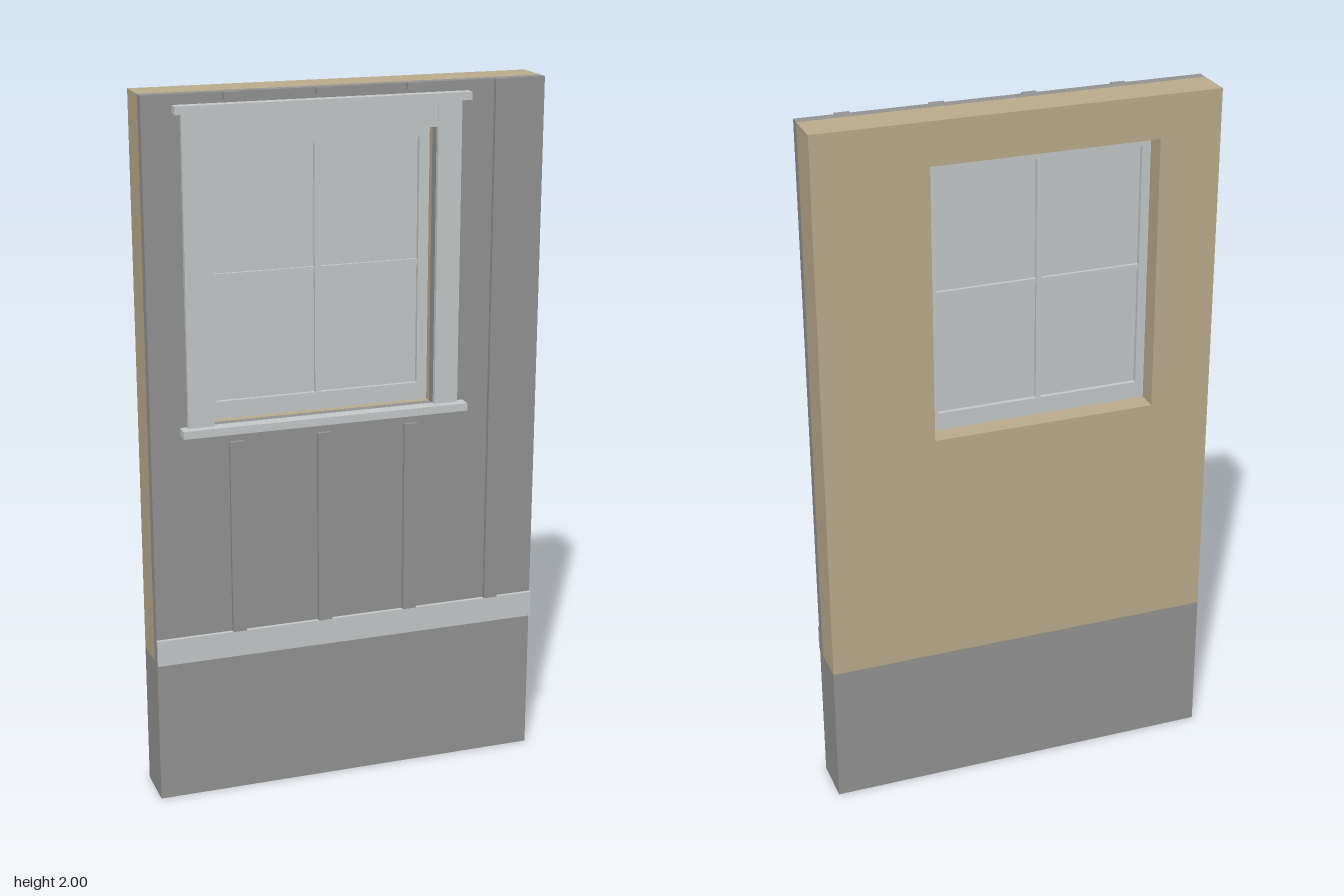
import * as THREE from 'three';

const mat = (name, color) => {
  const m = new THREE.MeshStandardMaterial({ color });
  m.name = name;
  return m;
};

export function createModel() {
  const group = new THREE.Group();
  group.name = 'windowWall';
  const grey = mat('greySiding', 0x949494);
  const tan = mat('tanTimber', 0xbcad8d);
  const trim = mat('paleTrim', 0xc7cbcb);
  const glass = mat('paleGlass', 0xc5c9cb);

  // Box given by its limits on each axis
  const box = (name, m, [x0, x1], [y0, y1], [z0, z1], parent = group) => {
    const mesh = new THREE.Mesh(new THREE.BoxGeometry(x1 - x0, y1 - y0, z1 - z0), m);
    mesh.position.set((x0 + x1) / 2, (y0 + y1) / 2, (z0 + z1) / 2);
    mesh.name = name;
    parent.add(mesh);
    return mesh;
  };
  const rect = (C, x0, x1, y0, y1) => {
    const s = new C();
    s.moveTo(x0, y0);
    s.lineTo(x1, y0);
    s.lineTo(x1, y1);
    s.lineTo(x0, y1);
    s.closePath();
    return s;
  };

  const W = 0.565, BASE = 0.415, BACK = -0.09, FACE = 0.05;
  const L = -0.39, R = 0.25, B = 1.1, T = 1.88; // window opening

  // Wall layers with the window opening cut through
  const layer = (name, m, z0, z1) => {
    const s = rect(THREE.Shape, -W, W, BASE, 2);
    s.holes.push(rect(THREE.Path, L, R, B, T));
    const mesh = new THREE.Mesh(
      new THREE.ExtrudeGeometry(s, { depth: z1 - z0, bevelEnabled: false }), m);
    mesh.position.z = z0;
    mesh.name = name;
    group.add(mesh);
  };
  layer('timberWall', tan, BACK, 0.02);
  layer('sidingPanel', grey, 0.02, FACE);
  box('foundation', grey, [-W, W], [0, BASE], [BACK, FACE]);
  box('baseTrim', trim, [-W, W], [BASE, 0.49], [FACE, 0.061]);

  // Battens: interrupted by the window, except the one beside it
  for (const x of [-0.326, -0.073, 0.182]) {
    box('lowerBatten', grey, [x - 0.02, x + 0.02], [0.49, 1.05], [FACE, 0.062]);
    box('upperBatten', grey, [x - 0.02, x + 0.02], [1.983, 2], [FACE, 0.062]);
  }
  box('sideBatten', grey, [0.416, 0.456], [0.49, 2], [FACE, 0.062]);

  // Window casing, head and sill
  const casing = [FACE, 0.065];
  box('leftCasing', trim, [R, 0.318], [B, 1.95], casing);
  box('rightCasing', trim, [-0.462, L], [B, 1.95], casing);
  box('topCasing', trim, [L, R], [T, 1.95], [FACE, 0.063]);
  box('headTrim', trim, [-0.482, 0.34], [1.95, 1.972], [FACE, 0.081]);
  box('sill', trim, [-0.482, 0.34], [1.08, 1.102], [FACE, 0.088]);

  // Sash with four panes
  const sash = new THREE.Group();
  sash.name = 'sash';
  group.add(sash);
  const depth = [-0.03, 0];
  box('sashStile', trim, [L, -0.365], [B, T], depth, sash);
  box('sashStile', trim, [0.22, R], [B, T], depth, sash);
  box('bottomRail', trim, [-0.365, 0.22], [B, 1.15], depth, sash);
  box('topRail', trim, [-0.365, 0.22], [1.845, T], depth, sash);
  box('verticalBar', trim, [-0.08, -0.065], [1.15, 1.845], [-0.028, -0.002], sash);
  box('crossBar', trim, [-0.365, 0.22], [1.49, 1.506], [-0.027, -0.003], sash);
  box('glassPane', glass, [-0.365, 0.22], [1.15, 1.845], [-0.018, -0.012], sash);

  return group;
}
